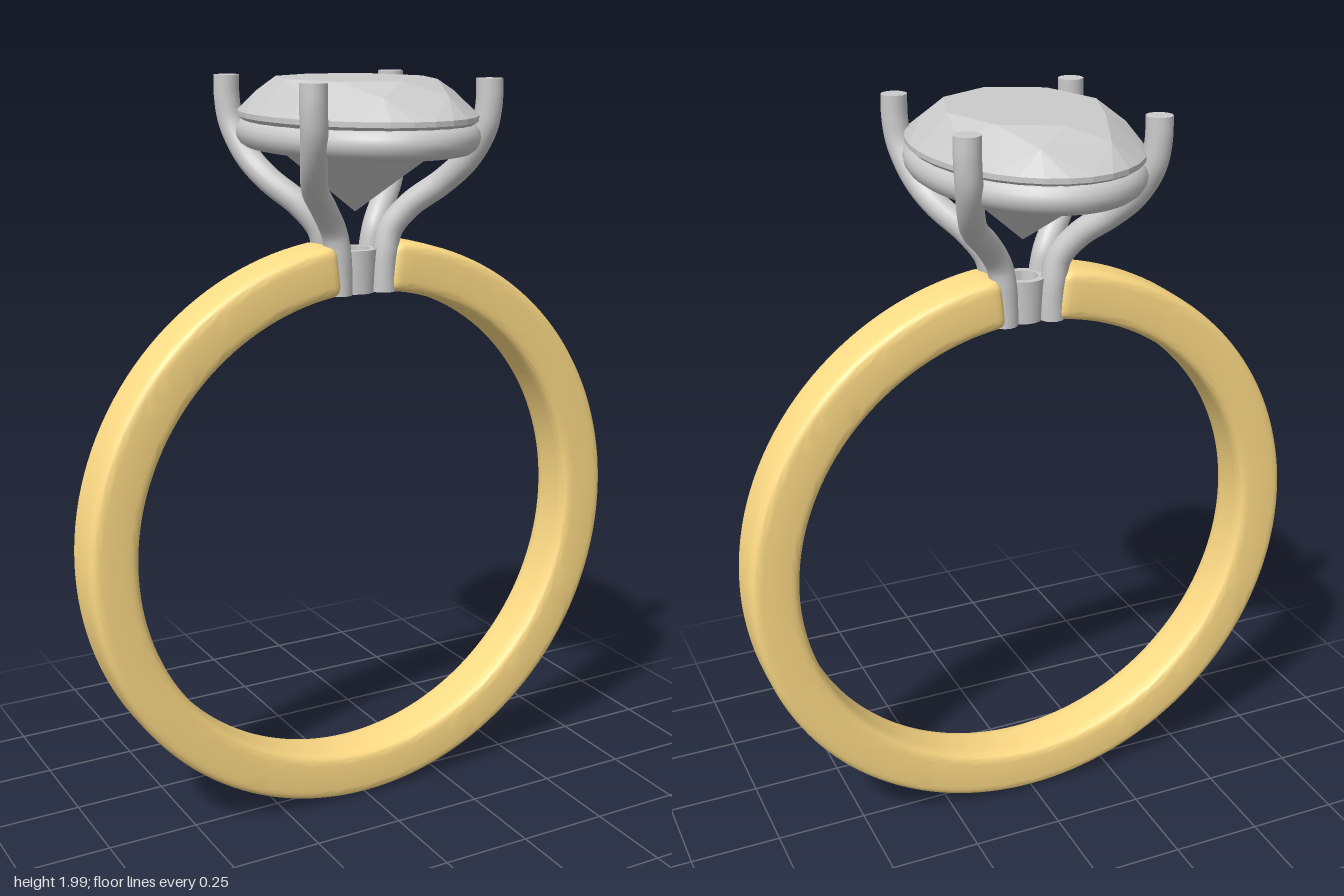
import * as THREE from 'three';
import { toCreasedNormals } from 'three/addons/utils/BufferGeometryUtils.js';
import { ConvexGeometry } from 'three/addons/geometries/ConvexGeometry.js';

const metal = new THREE.MeshStandardMaterial({ color: 0xcccccc });
const gold = new THREE.MeshStandardMaterial({ color: 0xffdc86 });
const stone = new THREE.MeshStandardMaterial({ color: 0xcccccc, flatShading: true });

function add(parent, name, geometry, material) {
  const mesh = new THREE.Mesh(geometry, material);
  mesh.name = name;
  parent.add(mesh);
  return mesh;
}

// Open ring swept from a rounded-rectangle section, with softened closed ends
function bandGeometry() {
  const centreY = 0.795, midR = 0.7225, halfR = 0.0675, halfW = 0.075;
  const sides = 36, steps = 140, gap = 0.112;
  const stations = [[gap, 0], [gap, 0.8], [gap + 0.006, 0.92], [gap + 0.018, 0.98]];
  const start = gap + 0.035;
  const body = Array.from({ length: steps + 1 },
    (_, i) => [start + (2 * Math.PI - 2 * start) * i / steps, 1]);
  const mirrored = stations.map(([a, s]) => [2 * Math.PI - a, s]).reverse();
  const rings = [...stations, ...body, ...mirrored];
  const round = (v) => Math.sign(v) * Math.abs(v) ** 0.36;
  const position = [], index = [];
  rings.forEach(([phi, scale], i) => {
    for (let j = 0; j < sides; j++) {
      const t = (j / sides) * Math.PI * 2;
      const r = midR + halfR * scale * round(Math.cos(t));
      position.push(r * Math.sin(phi), centreY + r * Math.cos(phi), halfW * scale * round(Math.sin(t)));
      if (i === rings.length - 1) continue;
      const a = i * sides + j, b = i * sides + (j + 1) % sides;
      index.push(a, b, a + sides, b, b + sides, a + sides);
    }
  });
  const g = new THREE.BufferGeometry();
  g.setAttribute('position', new THREE.Float32BufferAttribute(position, 3));
  g.setIndex(index);
  return toCreasedNormals(g, 0.7);
}

// Oval brilliant cut: table, star points, thin girdle and a pointed base
function gemGeometry() {
  const points = [new THREE.Vector3(0, 1.655, 0)];
  const oval = (count, rx, rz, y, offset = 0) => {
    for (let i = 0; i < count; i++) {
      const a = ((i + offset) / count) * Math.PI * 2;
      points.push(new THREE.Vector3(rx * Math.cos(a), y, rz * Math.sin(a)));
    }
  };
  oval(8, 0.2, 0.24, 1.995);
  oval(8, 0.238, 0.328, 1.962, 0.5);
  oval(32, 0.278, 0.393, 1.91);
  oval(32, 0.278, 0.393, 1.897);
  return new ConvexGeometry(points);
}

// Claw rising from the collet to the rim of the stone
function makeProng(name, sx, sz) {
  const prong = new THREE.Group();
  prong.name = name;
  const radius = 0.034;
  const path = [
    [0.066, 1.447, 0.036], [0.066, 1.49, 0.036], [0.07, 1.55, 0.038], [0.083, 1.61, 0.04],
    [0.125, 1.672, 0.068], [0.185, 1.735, 0.13], [0.218, 1.795, 0.19],
    [0.24, 1.875, 0.235], [0.247, 1.94, 0.245], [0.247, 1.998, 0.245],
  ].map(([x, y, z]) => new THREE.Vector3(x * sx, y, z * sz));
  const curve = new THREE.CatmullRomCurve3(path);
  add(prong, 'prongStem', new THREE.TubeGeometry(curve, 48, radius, 16), metal);
  for (const [end, dir] of [[path[0], 1], [path.at(-1), -1]]) {
    const cap = add(prong, 'prongEnd', new THREE.CircleGeometry(radius, 16), metal);
    cap.rotation.x = dir * Math.PI / 2;
    cap.position.copy(end);
  }
  return prong;
}

export function createModel() {
  const model = new THREE.Group();
  model.name = 'ring';
  add(model, 'band', bandGeometry(), gold);
  add(model, 'gemstone', gemGeometry(), stone);

  // Oval rail under the stone
  const rail = Array.from({ length: 40 }, (_, i) => {
    const a = (i / 40) * Math.PI * 2;
    return new THREE.Vector3(0.242 * Math.cos(a), 1.856, 0.36 * Math.sin(a));
  });
  add(model, 'galleryRail',
    new THREE.TubeGeometry(new THREE.CatmullRomCurve3(rail, true), 96, 0.04, 16, true), metal);

  // Hollow tapered collet between the band ends
  const profile = [[0.034, 1.445], [0.052, 1.445], [0.06, 1.56], [0.04, 1.56], [0.034, 1.445]]
    .map(([r, y]) => new THREE.Vector2(r, y));
  add(model, 'collet', toCreasedNormals(new THREE.LatheGeometry(profile, 32), 0.6), metal);

  for (const [sx, side] of [[1, 'Left'], [-1, 'Right']]) {
    for (const [sz, end] of [[1, 'front'], [-1, 'back']]) {
      model.add(makeProng(`${end}${side}Prong`, sx, sz));
    }
  }
  return model;
}
